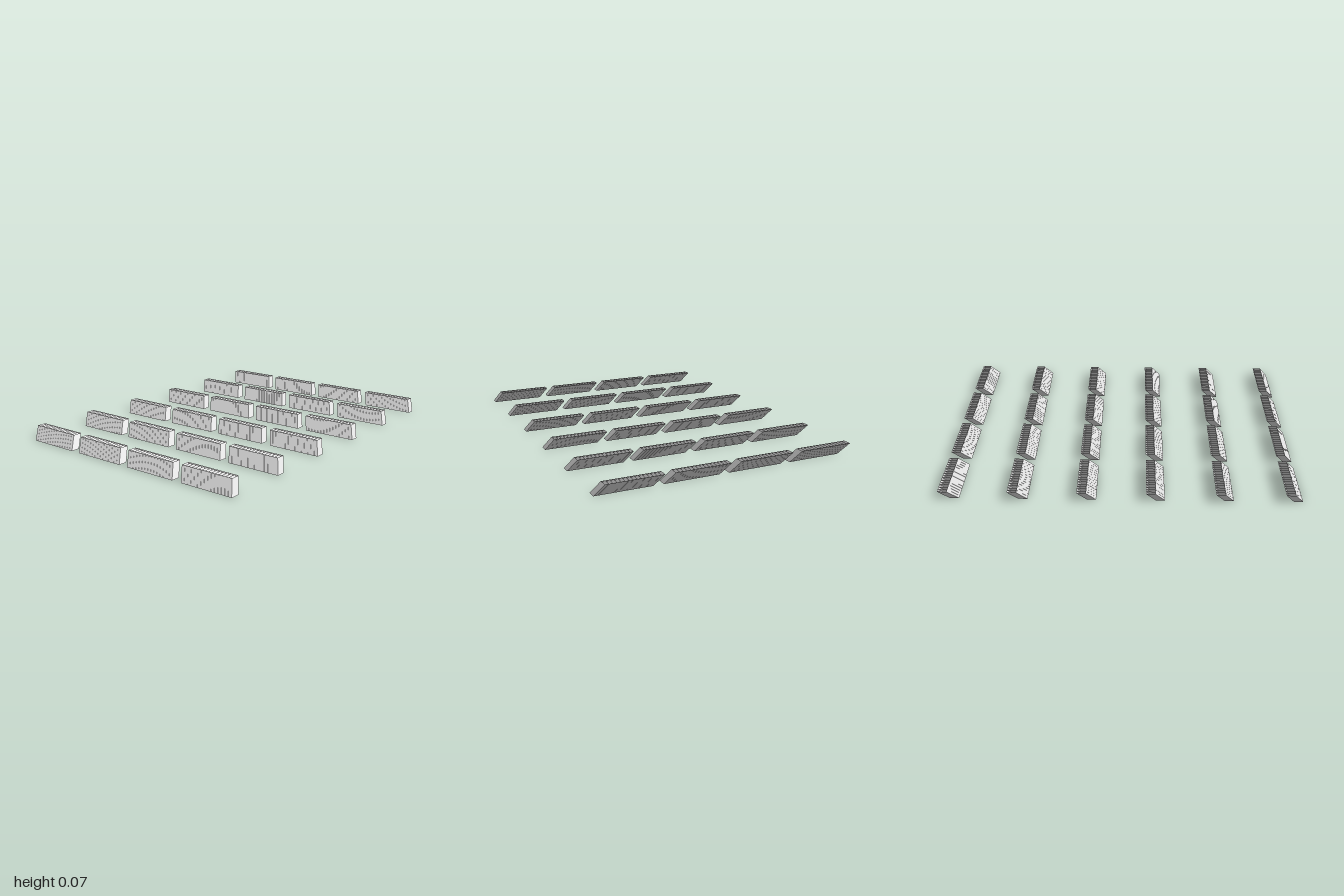
import * as THREE from 'three';
import { mergeGeometries } from 'three/addons/utils/BufferGeometryUtils.js';

const ROWS = 6, COLUMNS = 4, SLOTS = 15;
const PITCH_X = 0.378, PITCH_Z = 0.379;
const WIDTH = 0.32, HEIGHT = 0.073, DEPTH = 0.051;
const LEAN_X = -0.04, LEAN_Z = -0.054;

// Open-topped box leaning back and to the side
function leaningSlot(x, width) {
  const g = new THREE.BoxGeometry(width, HEIGHT, DEPTH);
  const index = Array.from(g.index.array);
  index.splice(12, 6); // remove the top face
  g.setIndex(index);
  g.clearGroups();
  g.translate(x + width / 2, HEIGHT / 2, -DEPTH / 2);
  g.applyMatrix4(new THREE.Matrix4().set(
    1, LEAN_X / HEIGHT, 0, 0,
    0, 1, 0, 0,
    0, LEAN_Z / HEIGHT, 1, 0,
    0, 0, 0, 1));
  const flat = g.toNonIndexed();
  flat.computeVertexNormals();
  return flat;
}

export function createModel() {
  const model = new THREE.Group();
  model.name = 'leaningSlotRows';
  const paleGrey = new THREE.MeshStandardMaterial({ color: 0xe4e4e4, side: THREE.DoubleSide });
  paleGrey.name = 'paleGrey';

  // One block of narrow slots side by side
  const step = WIDTH / SLOTS;
  const slots = [];
  for (let i = 0; i < SLOTS; i++) slots.push(leaningSlot(i * step, step - 0.001));
  const blockGeometry = mergeGeometries(slots);

  // Rows of blocks from front to back
  for (let r = 0; r < ROWS; r++) {
    const row = new THREE.Group();
    row.name = `row${r + 1}`;
    row.position.z = 1 - r * PITCH_Z;
    for (let c = 0; c < COLUMNS; c++) {
      const block = new THREE.Mesh(blockGeometry, paleGrey);
      block.name = `slotBlock${c + 1}`;
      block.position.x = -0.707 + c * PITCH_X;
      row.add(block);
    }
    model.add(row);
  }
  return model;
}
